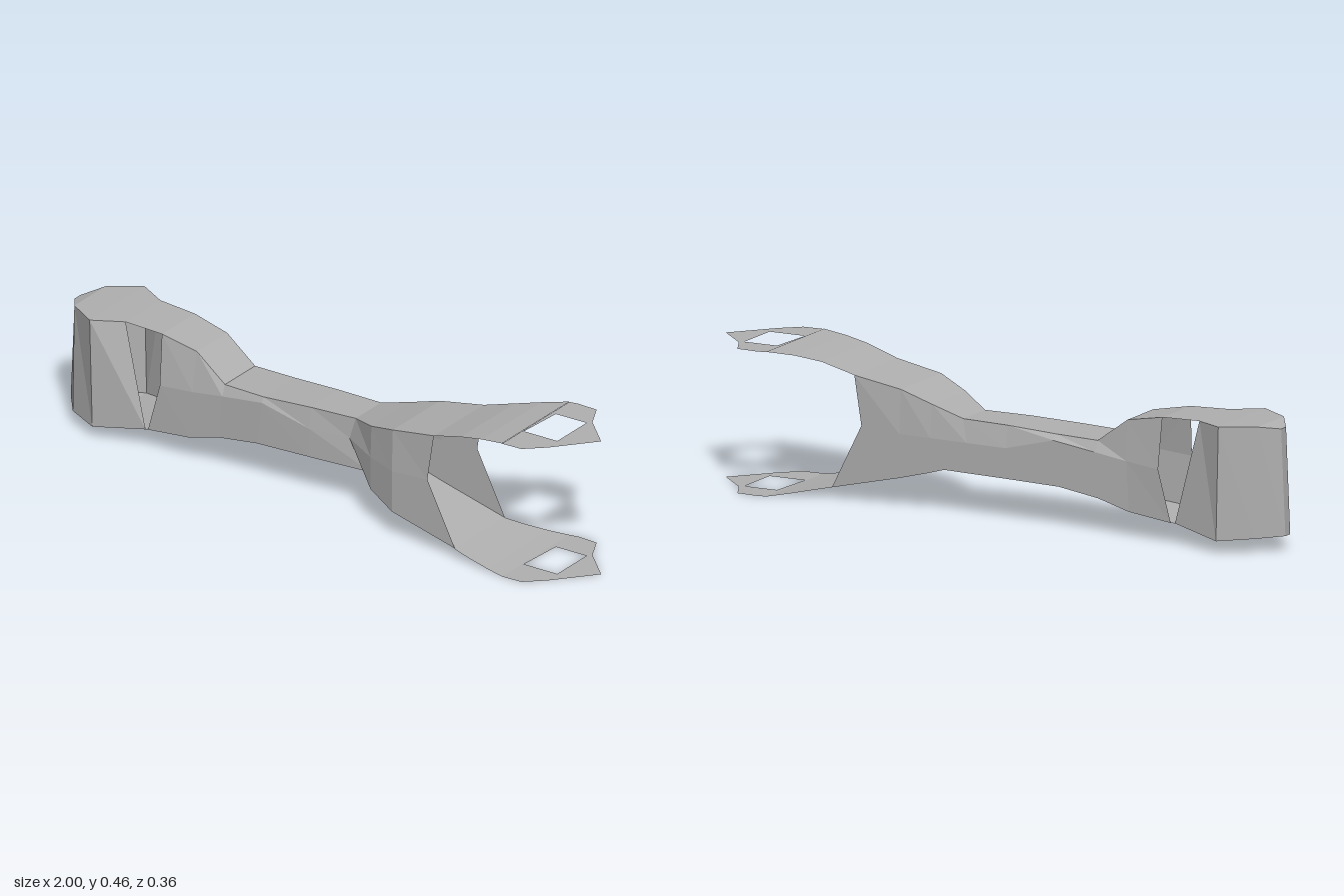
import * as THREE from 'three';

// Flat-faceted sheet through rows of points; closed joins each row's last point to its first
function loft(rows, closed = false) {
  const pos = [];
  const n = rows[0].length;
  for (let i = 0; i < rows.length - 1; i++) {
    for (let j = 0; j < (closed ? n : n - 1); j++) {
      const k = (j + 1) % n;
      const [a, b, c, d] = [rows[i][j], rows[i][k], rows[i + 1][k], rows[i + 1][j]];
      pos.push(...a, ...b, ...c, ...a, ...c, ...d);
    }
  }
  const g = new THREE.BufferGeometry();
  g.setAttribute('position', new THREE.Float32BufferAttribute(pos, 3));
  g.computeVertexNormals();
  return g;
}

export function createModel() {
  const model = new THREE.Group();
  model.name = 'forkedArm';
  const grey = new THREE.MeshStandardMaterial({ color: 0xb0b0b0, flatShading: true, side: THREE.DoubleSide });
  grey.name = 'grey';
  const add = (name, geometry) => {
    const mesh = new THREE.Mesh(geometry, grey);
    mesh.name = name;
    model.add(mesh);
  };

  // Hollow shank: xTop, xMid, xBottom, yTop, yMid, yBottom, zTopBack, zBack, zTopFront, zFront
  const stations = [
    [-0.61, -0.6, -0.645, 0.405, 0.24, 0.075, -0.1, -0.11, 0.075, 0.1],
    [-0.48, -0.48, -0.49, 0.38, 0.25, 0.09, -0.09, -0.1, 0.07, 0.095],
    [-0.37, -0.37, -0.38, 0.3, 0.265, 0.12, -0.085, -0.1, 0.075, 0.09],
    [-0.22, -0.22, -0.24, 0.303, 0.285, 0.14, -0.085, -0.1, 0.08, 0.088],
    [-0.05, -0.05, -0.05, 0.31, 0.24, 0.143, -0.085, -0.1, 0.065, 0.075],
    [0.11, 0.09, 0.17, 0.312, 0.24, 0.145, -0.085, -0.1, 0.05, 0.055],
    [0.22, 0.22, 0.22, 0.345, 0.24, 0.13, -0.087, -0.1, 0.12, 0.125],
    [0.33, 0.33, 0.33, 0.38, 0.24, 0.1, -0.09, -0.1, 0.16, 0.165],
    [0.49, 0.465, 0.57, 0.408, 0.25, 0.042, -0.1, -0.1, 0.165, 0.165],
  ];
  const rings = stations.map(([xt, xm, xb, yt, ym, yb, ztb, zb, ztf, zf]) => [
    [xt, yt, ztb], [xt, yt, ztf], [xm, ym, zf], [xb, yb, zf], [xb, yb, zb], [xm, ym, zb],
  ]);
  add('shank', loft(rings, true));

  // Bulkhead at the narrow neck, seen between the prongs
  const neck = rings[5];
  add('neckBulkhead', loft([[neck[0], neck[1]], [neck[5], neck[2]], [neck[4], neck[3]]]));

  // Boss rails: x, y, zBack, zFront
  const topRail = [
    [-0.985, 0.395, -0.015, 0.015], [-0.94, 0.41, -0.085, 0.08], [-0.84, 0.412, -0.153, 0.138],
    [-0.745, 0.41, -0.105, 0.08], [-0.61, 0.405, -0.1, 0.075],
  ];
  const bottomRail = [
    [-1, 0.056, -0.015, 0.015], [-0.935, 0.054, -0.085, 0.095], [-0.83, 0.047, -0.15, 0.138],
    [-0.655, 0.073, -0.1, 0.1], [-0.645, 0.075, -0.11, 0.1],
  ];
  const back = ([x, y, z]) => [x, y, z];
  const front = ([x, y, , z]) => [x, y, z];
  add('bossTop', loft(topRail.map((p) => [back(p), front(p)])));
  add('bossBottom', loft(bottomRail.map((p) => [back(p), front(p)])));

  // Boss wall runs round the rounded end, leaving a gap before the shank
  const round = (rail) => {
    const r = rail.slice(0, 4);
    return [...r.slice().reverse().map(back), ...r.map(front)];
  };
  add('bossWall', loft([round(topRail), round(bottomRail)]));

  // Thin prong sheets: x, y, zBack, zFront, running from the shank to the tip plate
  const prongs = {
    upper: [[0.49, 0.408, -0.1, 0.165], [0.6, 0.44, -0.112, 0.175], [0.68, 0.456, -0.14, 0.178], [0.76, 0.466, -0.178, 0.18]],
    lower: [[0.57, 0.042, -0.1, 0.168], [0.63, 0.03, -0.12, 0.175], [0.7, 0.016, -0.15, 0.178], [0.76, 0.006, -0.178, 0.18]],
  };
  for (const [name, rows] of Object.entries(prongs)) {
    add(name + 'Prong', loft(rows.map((p) => [back(p), front(p)])));

    // Pointed tip plate with a square hole
    const points = (list) => list.map(([x, z]) => new THREE.Vector2(x, z));
    const outline = new THREE.Shape(points([
      [0.76, -0.178], [0.79, -0.184], [0.86, -0.183], [0.9, -0.105], [1, -0.012], [0.89, 0.12], [0.83, 0.175], [0.76, 0.18],
    ]));
    outline.holes.push(new THREE.Path(points([[0.775, -0.085], [0.765, 0.07], [0.888, 0.065], [0.888, -0.09]])));
    const tip = new THREE.ShapeGeometry(outline);
    tip.rotateX(Math.PI / 2);
    tip.translate(0, name === 'upper' ? 0.465 : 0.006, 0);
    add(name + 'Tip', tip);
  }

  return model;
}
